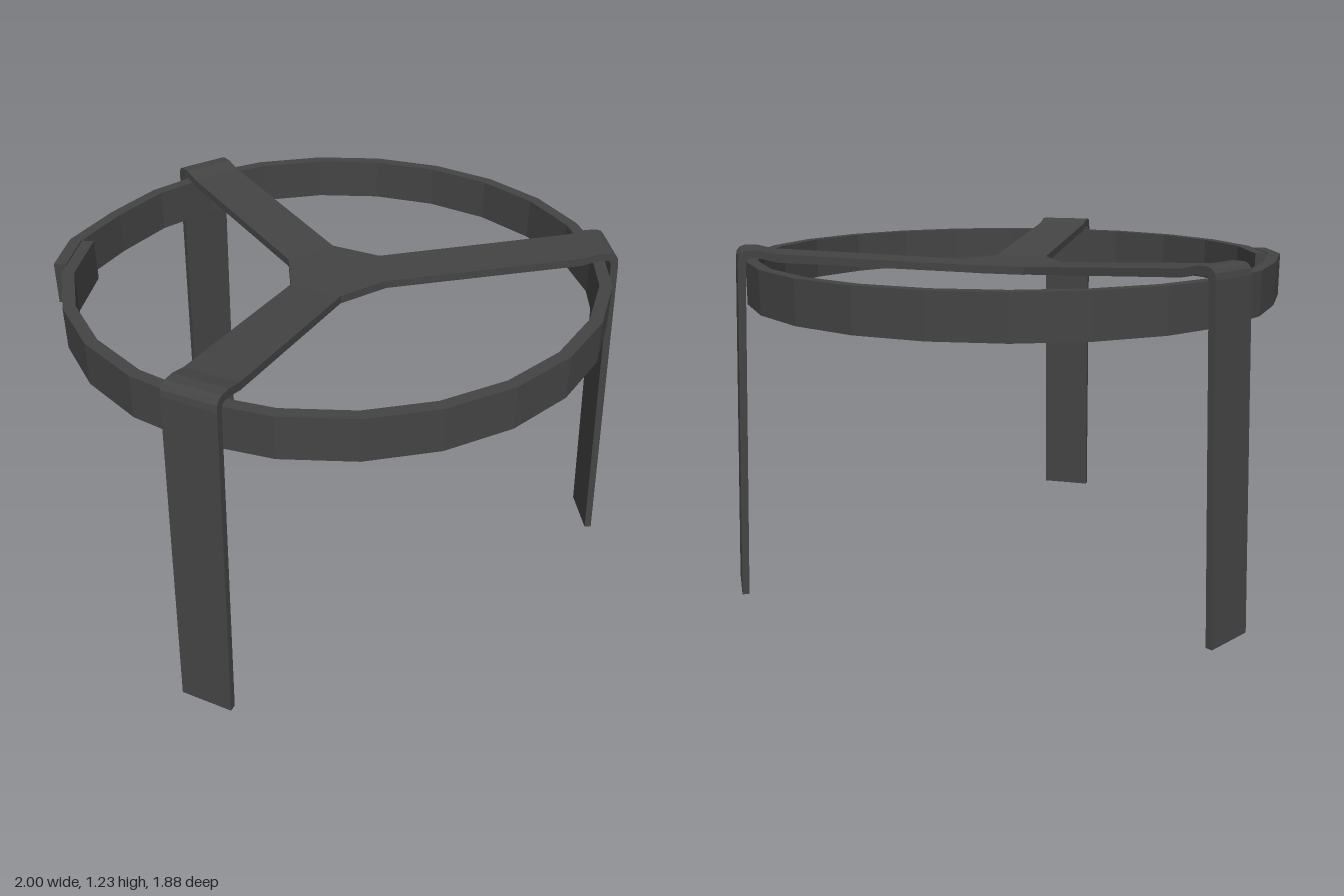
import * as THREE from 'three';

const CX = -0.02; // axis of the stand
const HALF_WIDTH = 0.095;

const toShape = (pts) => new THREE.Shape(pts.map(([x, y]) => new THREE.Vector2(x, y)));
const extrude = (pts, depth) =>
  new THREE.ExtrudeGeometry(toShape(pts), { depth, bevelEnabled: false });

// Outline of a strip of even thickness along an open path
function stripOutline(path, thickness) {
  const offset = (side) => path.map((p, i) => {
    const a = path[Math.max(i - 1, 0)];
    const b = path[Math.min(i + 1, path.length - 1)];
    const dx = b[0] - a[0], dy = b[1] - a[1], len = Math.hypot(dx, dy);
    return [p[0] - (dy / len) * side, p[1] + (dx / len) * side];
  });
  return [...offset(thickness / 2), ...offset(-thickness / 2).reverse()];
}

export function createModel() {
  const model = new THREE.Group();
  model.name = 'trivetStand';
  const iron = new THREE.MeshStandardMaterial({ color: 0x444444 });
  iron.name = 'dark iron';

  const add = (geometry, name) => {
    const mesh = new THREE.Mesh(geometry, iron);
    mesh.name = name;
    model.add(mesh);
    return mesh;
  };

  // Three bent flat bars: sloping arm, rounded shoulder, splayed leg
  const legProfile = [
    [0.15, 1.13], [0.84, 1.188], [0.9, 1.204], [0.934, 1.204], [0.942, 1.198], [0.945, 1.18],
    [0.995, 0], [1.02, 0],
    [0.971, 1.19], [0.967, 1.212], [0.957, 1.225], [0.94, 1.231], [0.9, 1.231], [0.84, 1.216],
    [0.15, 1.157],
  ];
  const legGeometry = extrude(legProfile, HALF_WIDTH * 2);
  legGeometry.translate(0, 0, -HALF_WIDTH);
  ['leftLeg', 'backRightLeg', 'frontRightLeg'].forEach((name, i) => {
    const leg = add(legGeometry, name);
    leg.position.x = CX;
    leg.rotation.y = (i * Math.PI * 2) / 3;
  });

  // Six-sided hub joining the arms
  const hubPoints = [];
  for (let i = 0; i < 6; i++) {
    const a = Math.PI / 6 + (i * Math.PI) / 3;
    hubPoints.push([0.188 * Math.cos(a), 0.188 * Math.sin(a)]);
  }
  const hub = extrude(hubPoints, 0.028);
  hub.rotateX(-Math.PI / 2);
  hub.translate(CX, 1.13, 0);
  add(hub, 'hub');

  // Hoop bent from one strip, its two ends overlapping on the right
  const path = [[-0.976, 0.065], [-0.943, 0.25]];
  for (let i = 10; i >= -12; i--) {
    const a = (i * Math.PI) / 12;
    path.push([CX + 0.921 * Math.cos(a), 0.921 * Math.sin(a)]);
  }
  path.push([-0.897, 0.24]);
  const hoop = extrude(stripOutline(path, 0.043), 0.15);
  hoop.rotateX(-Math.PI / 2);
  hoop.translate(0, 1.035, 0);
  add(hoop, 'hoop');

  return model;
}
